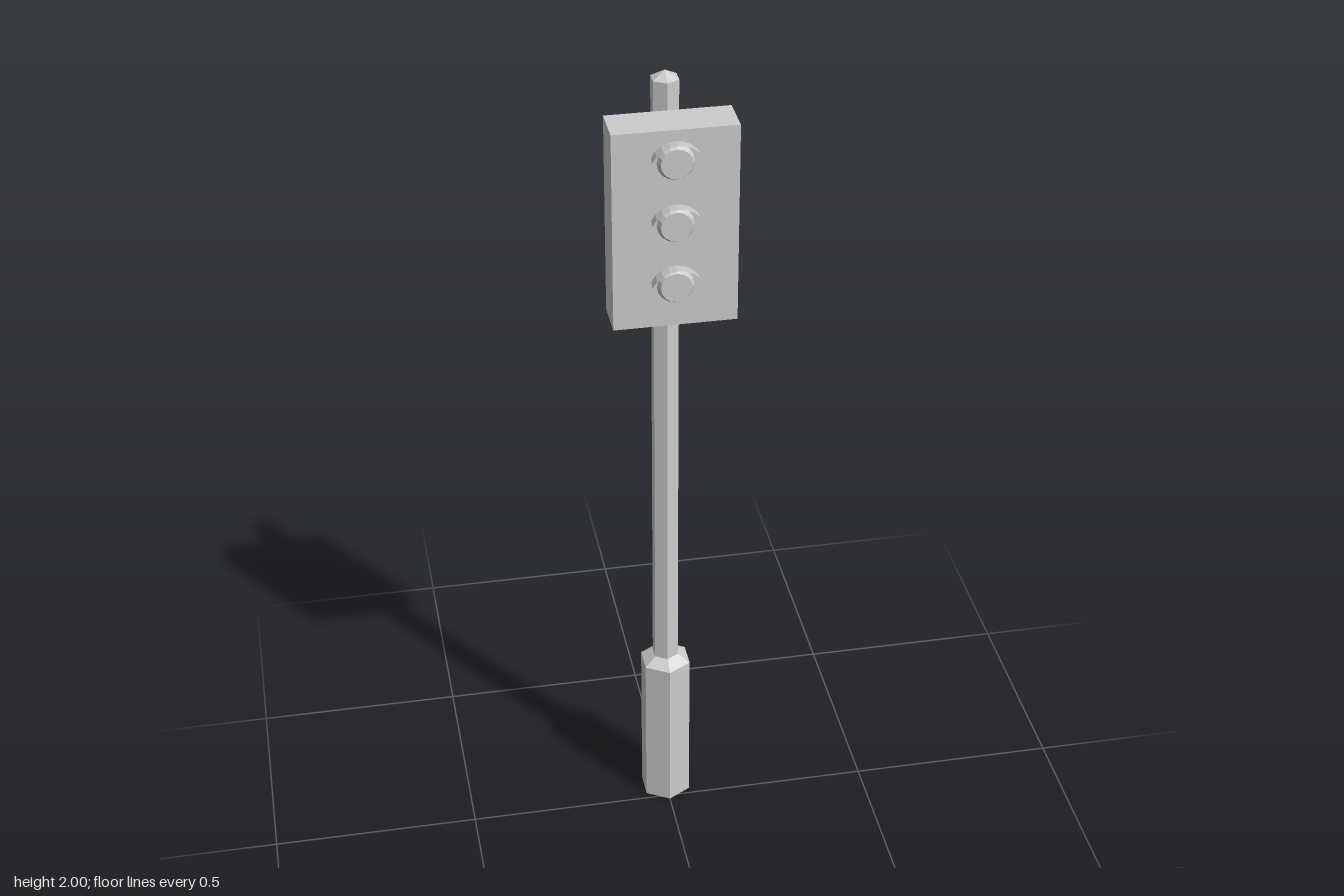
import * as THREE from 'three';

const POLE_Z = -0.05;

export function createModel() {
  const model = new THREE.Group();
  model.name = 'trafficLight';

  const grey = new THREE.MeshStandardMaterial({ color: 0xcccccc, flatShading: true, side: THREE.DoubleSide });
  grey.name = 'grey';

  const add = (parent, name, geometry, x, y, z) => {
    const mesh = new THREE.Mesh(geometry, grey);
    mesh.name = name;
    mesh.position.set(x, y, z);
    parent.add(mesh);
    return mesh;
  };

  // Hexagonal tube from [radius, y] pairs, with a corner facing forward
  const hexTube = (profile) =>
    new THREE.LatheGeometry(profile.map(([r, y]) => new THREE.Vector2(r, y)), 6);

  // Wide foot, open underneath, with a sloped shoulder
  add(model, 'base', hexTube([[0.064, 0], [0.064, 0.41], [0.033, 0.43]]), 0, 0, POLE_Z);

  // Slim post with a shallow pointed cap
  add(model, 'pole', hexTube([[0.033, 0.43], [0.033, 1.982], [0, 2]]), 0, 0, POLE_Z);

  // Signal box
  add(model, 'signalBox', new THREE.BoxGeometry(0.28, 0.475, 0.097), 0, 1.6825, 0.0315);

  // Three lamps, each a bevelled lens under a flared visor
  const lensGeometry = new THREE.CylinderGeometry(0.035, 0.042, 0.012, 16).rotateX(Math.PI / 2);
  const halfArc = 1.13;
  const visorGeometry = new THREE.CylinderGeometry(
    0.064, 0.06, 0.033, 8, 1, true, Math.PI - halfArc, halfArc * 2
  ).rotateX(Math.PI / 2);

  ['top', 'middle', 'bottom'].forEach((level, i) => {
    const lamp = new THREE.Group();
    lamp.name = `${level}Lamp`;
    lamp.position.set(0, 1.845 - i * 0.15, 0.08);
    add(lamp, 'lens', lensGeometry, 0, 0, 0.006);
    add(lamp, 'visor', visorGeometry, 0, -0.011, 0.0165);
    model.add(lamp);
  });

  return model;
}
